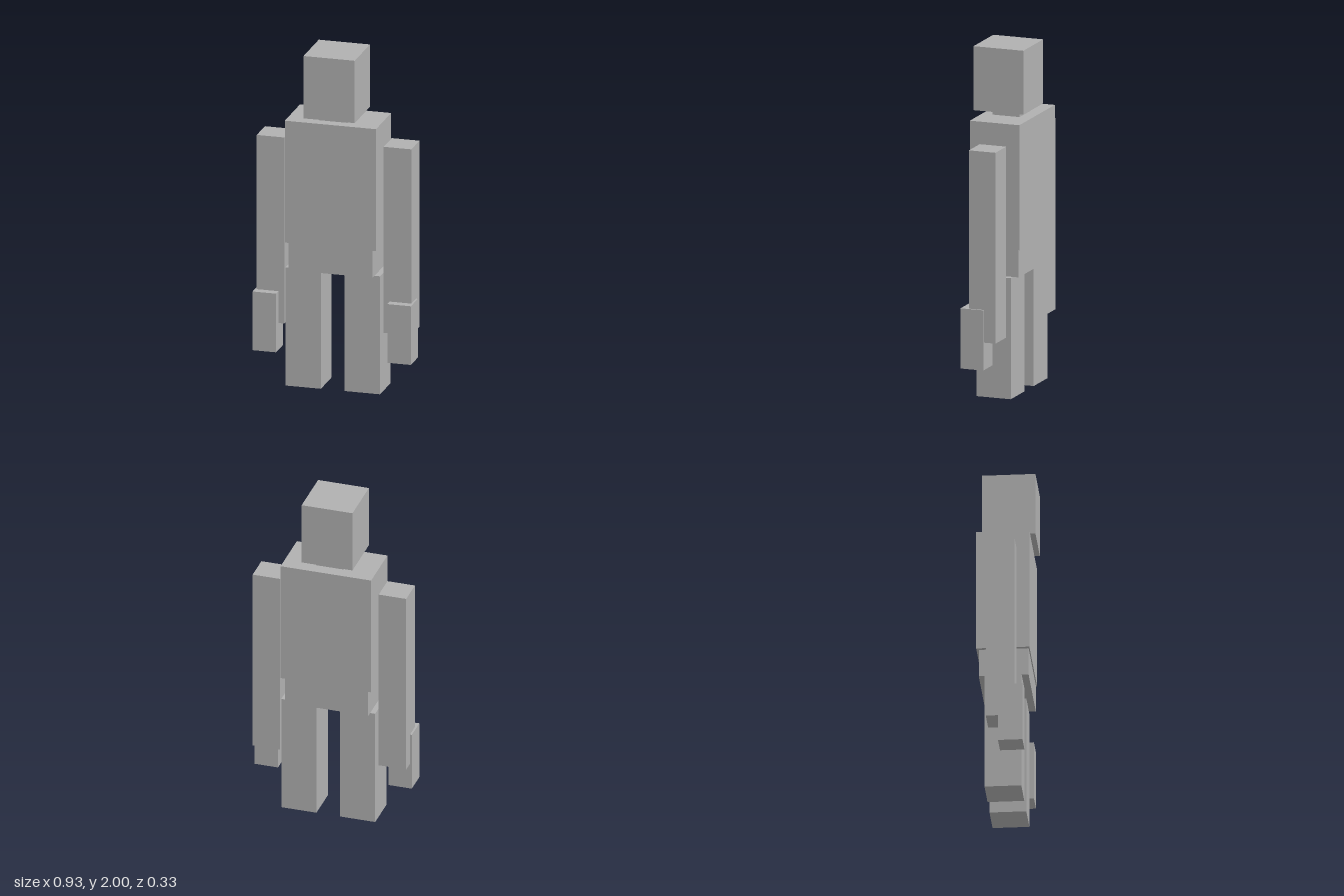
import * as THREE from 'three';

export function createModel() {
  const model = new THREE.Group();
  model.name = 'blockFigure';
  const grey = new THREE.MeshStandardMaterial({ color: 0xb0b0b0 });
  grey.name = 'plainGrey';

  // A box given by its lower and upper bound on each axis
  function block(name, [x0, x1], [y0, y1], [z0, z1], parent = model) {
    const mesh = new THREE.Mesh(new THREE.BoxGeometry(x1 - x0, y1 - y0, z1 - z0), grey);
    mesh.name = name;
    mesh.position.set((x0 + x1) / 2, (y0 + y1) / 2, (z0 + z1) / 2);
    parent.add(mesh);
  }

  // Head and trunk
  block('head', [-0.152, 0.15], [1.628, 2], [-0.142, 0.162]);
  block('neck', [-0.084, 0.082], [1.595, 1.628], [-0.092, 0.074]);
  block('torso', [-0.27, 0.268], [0.868, 1.595], [-0.165, 0.137]);
  block('hips', [-0.249, 0.246], [0.704, 0.868], [-0.152, 0.131]);

  // Limbs, mirrored left and right
  for (const [side, s] of [['left', 1], ['right', -1]]) {
    const span = (a, b) => (s > 0 ? [a, b] : [-b, -a]);
    const arm = new THREE.Group();
    arm.name = side + 'ArmGroup';
    block(side + 'Arm', span(0.293, 0.456), [0.36, 1.47], [-0.095, 0.067], arm);
    block(side + 'Hand', span(0.328, 0.467), [0.2, 0.55], [-0.025, 0.114], arm);
    model.add(arm);
    block(side + 'Leg', span(0.07, 0.279), [0, 0.704], [-0.117, 0.092]);
  }
  return model;
}
